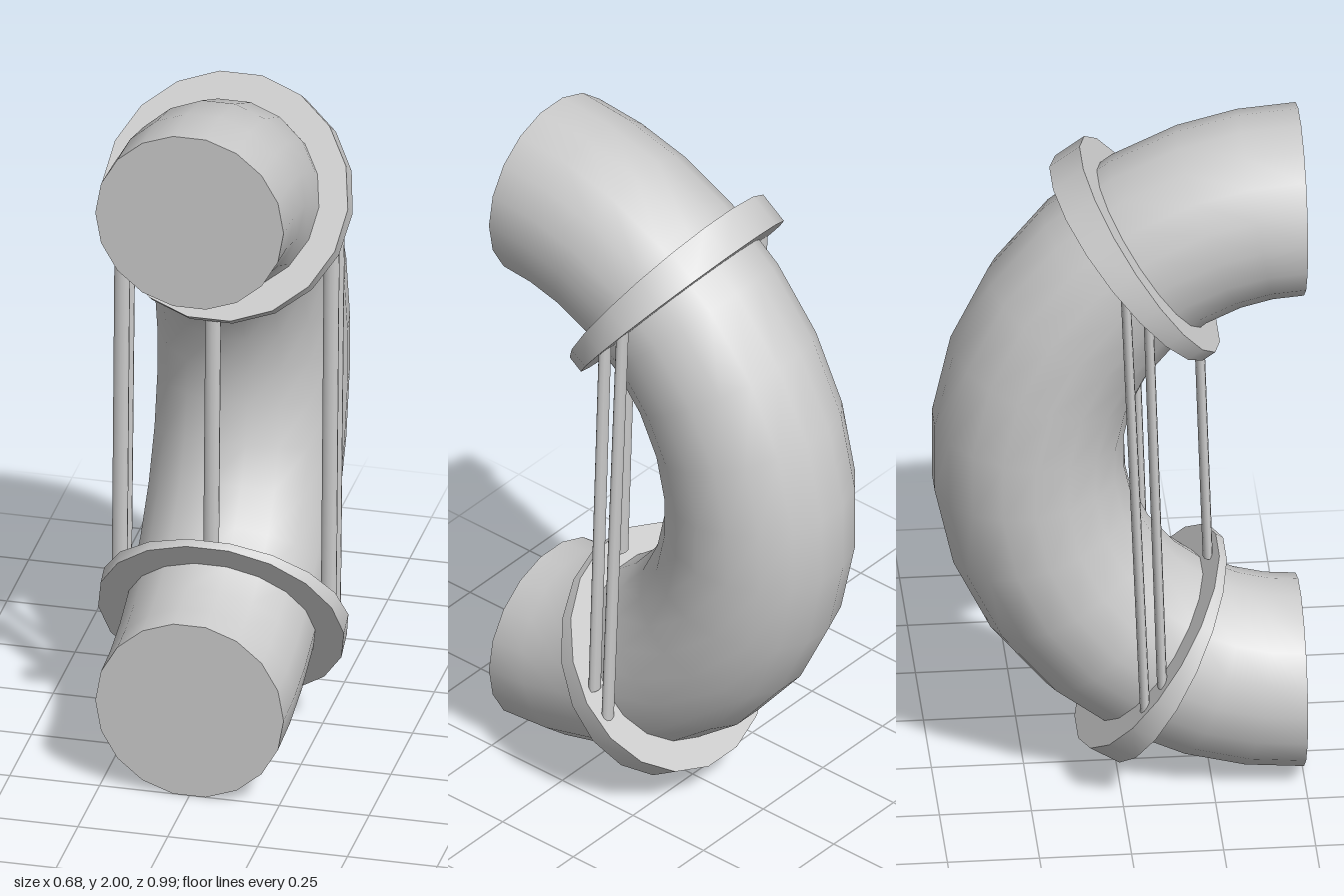
import * as THREE from 'three';
import { toCreasedNormals } from 'three/addons/utils/BufferGeometryUtils.js';

const BEND = 0.742; // radius of the bend's centre line, around y = 1, z = 0.5
const PIPE = 0.262;
const FLANGE = 0.342;
const SIDES = 18;
const rad = THREE.MathUtils.degToRad;
const material = new THREE.MeshStandardMaterial({ color: 0xcccccc, side: THREE.DoubleSide });

// Joins round sections [angle along the bend, tilt, radius]; angle 0 is the top end, 180 the bottom end
function sweep(name, sections) {
  const positions = [];
  const index = [];
  sections.forEach(([angle, tilt, radius], i) => {
    const a = rad(angle), t = rad(tilt);
    for (let k = 0; k < SIDES; k++) {
      const v = (k / SIDES) * Math.PI * 2;
      const out = radius * Math.sin(v);
      positions.push(
        radius * Math.cos(v),
        1 + BEND * Math.cos(a) + out * Math.cos(t),
        0.5 - BEND * Math.sin(a) - out * Math.sin(t)
      );
      if (i === sections.length - 1) continue;
      const k1 = (k + 1) % SIDES;
      const p = i * SIDES + k, q = i * SIDES + k1;
      index.push(p, p + SIDES, q, p + SIDES, q + SIDES, q);
    }
  });
  const geometry = new THREE.BufferGeometry();
  geometry.setAttribute('position', new THREE.Float32BufferAttribute(positions, 3));
  geometry.setIndex(index);
  const mesh = new THREE.Mesh(toCreasedNormals(geometry, rad(40)), material);
  mesh.name = name;
  return mesh;
}

// Wedge-shaped collar between two tilted faces
function flange(name, [a0, t0], [a1, t1]) {
  const inner = PIPE - 0.015;
  return sweep(name, [[a0, t0, inner], [a0, t0, FLANGE], [a1, t1, FLANGE], [a1, t1, inner]]);
}

// Oval rod between two points
function rod(name, x, [y0, z0], [y1, z1]) {
  const from = new THREE.Vector3(x, y0, z0);
  const to = new THREE.Vector3(x, y1, z1);
  const geometry = new THREE.CylinderGeometry(0.022, 0.022, from.distanceTo(to), 10);
  geometry.scale(1, 1, 0.62);
  const mesh = new THREE.Mesh(geometry, material);
  mesh.position.copy(from).lerp(to, 0.5);
  mesh.rotation.x = Math.atan2(z1 - z0, y1 - y0);
  mesh.name = name;
  return mesh;
}

export function createModel() {
  const group = new THREE.Group();
  group.name = 'pipeBend';

  // Curved pipe with closed ends
  const half = [0, 9.5, 19.5, 31, 44, 57.5, 70.8, 84.2];
  const angles = [...half, ...half.map((a) => 180 - a).reverse()];
  group.add(sweep('pipe', [
    [0, 0, 0],
    ...angles.map((a) => [a, a, PIPE]),
    [180, 180, 0],
  ]));

  // Flanges
  group.add(flange('upperFlange', [33.3, 33.4], [38.7, 38.8]));
  group.add(flange('lowerFlange', [146, 145.3], [150.7, 151.6]));

  // Tie rods: one at the inside of the bend, two on each side
  group.add(rod('centreRod', 0, [0.63, 0.25], [1.36, 0.226]));
  for (const [side, x] of [['left', 0.291], ['right', -0.291]]) {
    group.add(rod(side + 'FrontRod', x, [0.4, 0.101], [1.57, 0.064]));
    group.add(rod(side + 'BackRod', x, [0.32, 0.055], [1.645, 0.002]));
  }
  return group;
}
